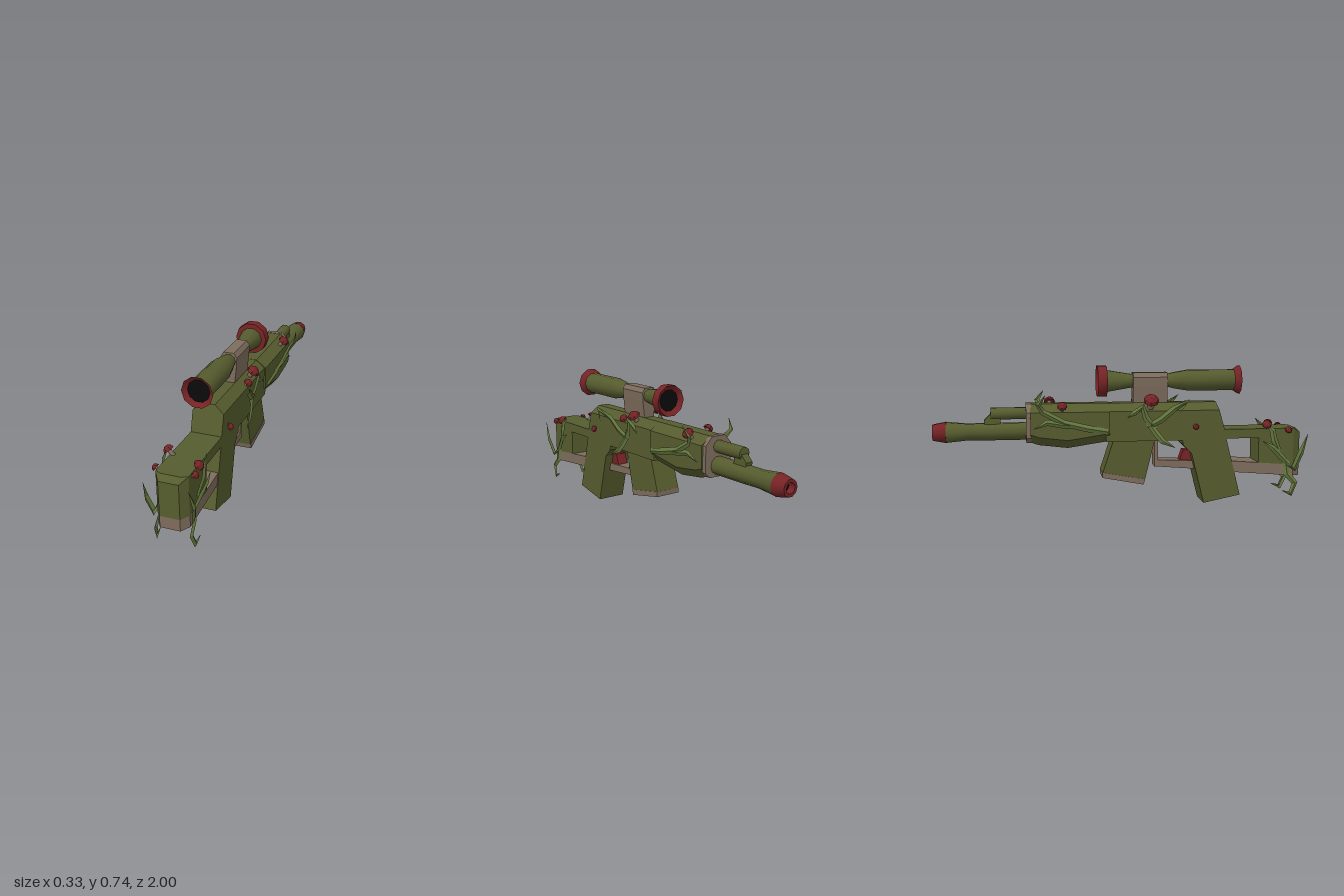
import * as THREE from 'three';
import { toCreasedNormals } from 'three/addons/utils/BufferGeometryUtils.js';
import { ConvexGeometry } from 'three/addons/geometries/ConvexGeometry.js';

const mat = (name, color, side = THREE.FrontSide) => {
  const m = new THREE.MeshStandardMaterial({ color, side });
  m.name = name;
  return m;
};

export function createModel() {
  const root = new THREE.Group();
  root.name = 'overgrownRifle';
  const green = mat('mossGreen', 0x565c2e);
  const brown = mat('fadedWood', 0x7d6c5c);
  const red = mat('capRed', 0x762325);
  const black = mat('lensBlack', 0x0a0a0a);
  const leaf = mat('vineGreen', 0x66783f, THREE.DoubleSide);

  const add = (name, geo, m, parent = root) => {
    const mesh = new THREE.Mesh(geo, m);
    mesh.name = name;
    parent.add(mesh);
    return mesh;
  };
  // side profile of [z, y] points, extruded across x
  const slab = (name, pts, half, m) => {
    const shape = new THREE.Shape(pts.map(([z, y]) => new THREE.Vector2(-z, y)));
    const g = new THREE.ExtrudeGeometry(shape, { depth: half * 2, bevelEnabled: false });
    g.rotateY(Math.PI / 2).translate(-half, 0, 0);
    return add(name, g, m);
  };
  // convex block from half points [x, y, z], mirrored in x
  const block = (name, pts, m) => add(name, new ConvexGeometry(
    pts.flatMap(([x, y, z]) => [new THREE.Vector3(x, y, z), new THREE.Vector3(-x, y, z)])), m);
  // turned part along z from [radius, z] points, front end (-z) first
  const turned = (name, pts, y, m) => {
    const g = new THREE.LatheGeometry(pts.map(([r, z]) => new THREE.Vector2(r, z)), 10, Math.PI / 2);
    g.rotateX(Math.PI / 2).translate(0, y, 0);
    return add(name, toCreasedNormals(g, 0.65), m);
  };
  const disc = (name, r, y, z, back) => {
    const d = add(name, new THREE.CircleGeometry(r, 10), black);
    d.position.set(0, y, z);
    if (back) d.rotation.y = Math.PI;
  };

  // receiver with chamfered top and sloped rear
  block('receiver', [
    [0.08, 0.345, -0.1], [0.08, 0.505, -0.1], [0.032, 0.545, -0.1],
    [0.08, 0.345, 0.55], [0.08, 0.40, 0.54], [0.08, 0.505, 0.51], [0.032, 0.545, 0.5],
  ], green);
  // handguard with a dipped, chamfered underside
  block('handguard', [[-0.08, 0.345], [-0.3, 0.312], [-0.45, 0.33], [-0.495, 0.345]].flatMap(([z, y]) => [
    [0.05, y, z], [0.088, y + 0.045, z], [0.088, 0.505, z], [0.035, 0.546, z],
  ]), green);
  block('collar', [-0.49, -0.517].flatMap((z) => [
    [0.05, 0.343, z], [0.08, 0.37, z], [0.08, 0.505, z], [0.04, 0.548, z],
  ]), brown);

  // barrel, muzzle and gas tube
  turned('barrel', [[0.056, -0.93], [0.045, -0.82], [0.047, -0.7], [0.047, -0.51]], 0.4, green);
  turned('muzzle', [[0.025, -0.96], [0.027, -1], [0.043, -1], [0.057, -0.93], [0.045, -0.925]], 0.4, red);
  disc('bore', 0.026, 0.4, -0.965, true);
  slab('gasTubeFoot', [[-0.65, 0.5], [-0.7, 0.495], [-0.735, 0.46], [-0.73, 0.43], [-0.65, 0.43]], 0.02, green);
  turned('gasTube', [[0, -0.702], [0.032, -0.7], [0.032, -0.51]], 0.495, green);

  // scope on its mount
  turned('scopeTube', [[0.06, -0.09], [0.036, 0.05], [0.036, 0.24], [0.044, 0.27], [0.058, 0.35], [0.058, 0.605]], 0.66, green);
  turned('scopeFrontRing', [[0.057, -0.12], [0.084, -0.14], [0.084, -0.09], [0.055, -0.088]], 0.66, red);
  turned('scopeRearRing', [[0.058, 0.6], [0.08, 0.632], [0.056, 0.612]], 0.66, red);
  disc('frontLens', 0.058, 0.66, -0.121, true);
  disc('rearLens', 0.057, 0.66, 0.613, false);
  block('scopeMount', [0.05, 0.235].flatMap((z) => [
    [0.03, 0.54, z], [0.04, 0.63, z], [0.043, 0.68, z], [0.028, 0.704, z],
  ]), brown);

  // skeleton stock
  slab('stockBar', [[0.75, 0.35], [0.75, 0.4], [0.53, 0.4], [0.53, 0.35]], 0.08, green);
  const slope = (y, z) => y + (0.97 - z) * 0.08;
  const plan = [[0.05, 0.968], [0.08, 0.925]];
  block('butt', [...plan, [0.08, 0.73]].flatMap(([x, z]) => [
    [x, slope(0.195, z), z], [x, z > 0.95 ? 0.375 : 0.4, z],
  ]).concat([[0.05, 0.4, 0.94]]), green);
  block('stockBase', [...plan, [0.075, 0.5]].flatMap(([x, z]) => [
    [x, slope(0.135, z), z], [x, slope(0.195, z), z],
  ]), brown);
  slab('triggerGuard', [[0.5, 0.172], [0.165, 0.2], [0.165, 0.35], [0.185, 0.35], [0.185, 0.235], [0.5, 0.22]], 0.04, brown);
  slab('trigger', [[0.37, 0.285], [0.325, 0.285], [0.305, 0.228], [0.37, 0.225]], 0.03, red);
  slab('grip', [[0.55, 0.35], [0.63, 0.04], [0.43, 0], [0.36, 0.275], [0.315, 0.32], [0.31, 0.35]], 0.08, green);
  slab('magazine', [[0.162, 0.35], [0.11, 0.135], [-0.118, 0.175], [-0.06, 0.35]], 0.07, green);
  slab('magazineBase', [[0.11, 0.137], [0.102, 0.108], [-0.118, 0.15], [-0.118, 0.178]], 0.072, brown);

  // mushrooms: x, y, z, cap radius, tilt
  const capShape = [[0, -0.15], [1, -0.25], [0.85, 0.25], [0.4, 0.6], [0, 0.65]].map(([r, y]) => new THREE.Vector2(r, y));
  const capGeo = toCreasedNormals(new THREE.LatheGeometry(capShape, 7), 0.2);
  [
    [0.078, 0.558, 0.085, 0.034, 0.6], [0.083, 0.53, 0.175, 0.024, 0.7], [0.095, 0.42, 0.46, 0.02, 1.2],
    [0.09, 0.41, 0.83, 0.027, 0.8], [0.098, 0.395, 0.89, 0.02, 1], [0.09, 0.55, -0.39, 0.031, 0.7],
    [-0.088, 0.565, 0.14, 0.042, 0.6], [-0.097, 0.42, 0.38, 0.017, 1.2], [-0.09, 0.425, 0.77, 0.027, 0.7],
    [-0.098, 0.395, 0.89, 0.02, 1], [-0.095, 0.54, -0.33, 0.027, 0.7],
  ].forEach(([x, y, z, r, tilt]) => {
    const g = new THREE.Group();
    g.name = 'mushroom';
    g.position.set(x, y, z);
    g.rotation.z = -Math.sign(x) * tilt;
    add('cap', capGeo, red, g).scale.setScalar(r);
    const stem = add('stem', new THREE.CylinderGeometry(r * 0.35, r * 0.45, 0.06, 6), brown, g);
    stem.position.y = -0.03;
    root.add(g);
  });

  // ridged, tapering ribbon through [x, y, z] points
  const vine = (pts, side, half) => {
    const pos = [], idx = [], n = pts.length;
    pts.forEach((p, i) => {
      const a = pts[Math.max(i - 1, 0)], b = pts[Math.min(i + 1, n - 1)];
      const dy = b[1] - a[1], dz = b[2] - a[2], l = Math.hypot(dy, dz) || 1;
      const w = half * (i === n - 1 ? 0.05 : i === 0 ? 0.7 : 1 - 0.4 * i / n);
      for (const k of [-1, 0, 1]) {
        pos.push(side * (p[0] + (k ? 0 : w * 0.5)), p[1] - k * w * dz / l, p[2] + k * w * dy / l);
      }
      if (i) for (const k of [0, 1]) {
        const c = i * 3 + k;
        idx.push(c - 3, c - 2, c, c - 2, c + 1, c);
      }
    });
    const g = new THREE.BufferGeometry();
    g.setAttribute('position', new THREE.Float32BufferAttribute(pos, 3));
    g.setIndex(side > 0 ? idx : idx.reverse());
    add('vine', toCreasedNormals(g, 0.2), leaf);
  };
  const vines = [
    // receiver
    [[0.085, 0.42, 0.12], [0.1, 0.46, 0.19], [0.11, 0.52, 0.26], [0.145, 0.56, 0.325], [0.165, 0.505, 0.28]],
    [[0.085, 0.45, 0.12], [0.095, 0.38, 0.17], [0.1, 0.345, 0.2], [0.105, 0.31, 0.265]],
    [[0.085, 0.41, 0.16], [0.095, 0.47, 0.11], [0.105, 0.53, 0.09], [0.1, 0.5, 0.05], [0.11, 0.475, 0.01]],
    // handguard
    [[0.092, 0.4, -0.09], [0.098, 0.42, -0.2], [0.1, 0.45, -0.32], [0.115, 0.51, -0.43], [0.135, 0.55, -0.455], [0.15, 0.6, -0.42]],
    [[0.092, 0.43, -0.22], [0.1, 0.44, -0.32], [0.105, 0.455, -0.41], [0.1, 0.42, -0.48]],
    // butt
    [[0.082, 0.2, 0.9], [0.095, 0.25, 0.85], [0.11, 0.3, 0.8], [0.108, 0.335, 0.745]],
    [[0.085, 0.26, 0.85], [0.1, 0.34, 0.81], [0.1, 0.39, 0.8], [0.095, 0.435, 0.76]],
    [[0.082, 0.22, 0.88], [0.095, 0.18, 0.925], [0.115, 0.27, 0.955], [0.108, 0.37, 0.995]],
    [[0.082, 0.22, 0.88], [0.085, 0.15, 0.89], [0.088, 0.1, 0.935], [0.095, 0.04, 0.91], [0.1, 0.06, 0.86]],
  ];
  for (const side of [1, -1]) vines.forEach((v) => vine(v, side, 0.02));

  return root;
}
